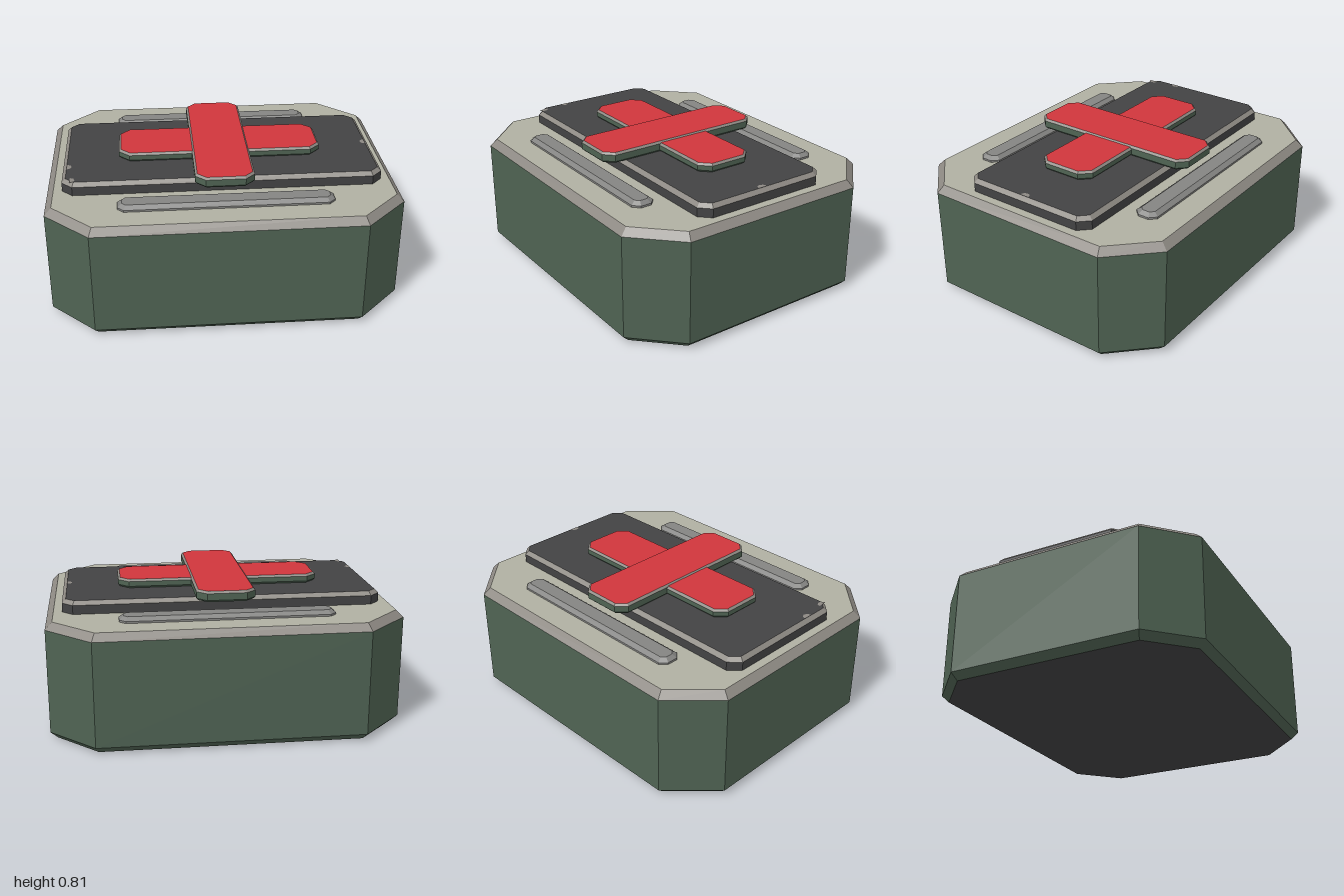
import * as THREE from 'three';

function material(name, color) {
  const m = new THREE.MeshStandardMaterial({ color, flatShading: true });
  m.name = name;
  return m;
}

// Eight-sided outline of a rectangle with cut corners, inset evenly
function outline(w, d, cut, inset, y) {
  const a = w - inset, b = d - inset;
  const c = cut - inset * (2 - Math.SQRT2);
  return [
    [a, b - c], [a, c - b], [a - c, -b], [c - a, -b],
    [-a, c - b], [-a, b - c], [c - a, b], [a - c, b],
  ].map(([x, z]) => new THREE.Vector3(x, y, z));
}

// Bevelled slab; materials run: base, lower bevel, sides, upper bevel, top
function slab(name, { w, d, cut, y0, y1, bevel, low = bevel, rise = bevel }, materials) {
  const rings = [
    outline(w, d, cut, low, y0),
    outline(w, d, cut, 0, y0 + low),
    outline(w, d, cut, 0, y1 - rise),
    outline(w, d, cut, bevel, y1),
  ];
  const points = [];
  const geometry = new THREE.BufferGeometry();
  const addGroup = (index, build) => {
    const start = points.length;
    for (let i = 0; i < 8; i++) build(i, (i + 1) % 8);
    geometry.addGroup(start, points.length - start, index);
  };
  addGroup(0, (i, j) => points.push(new THREE.Vector3(0, y0, 0), rings[0][j], rings[0][i]));
  for (let k = 0; k < 3; k++) {
    const lo = rings[k], hi = rings[k + 1];
    addGroup(k + 1, (i, j) => points.push(lo[i], lo[j], hi[j], lo[i], hi[j], hi[i]));
  }
  addGroup(4, (i, j) => points.push(new THREE.Vector3(0, y1, 0), rings[3][i], rings[3][j]));
  geometry.setFromPoints(points);
  geometry.computeVertexNormals();
  const mesh = new THREE.Mesh(geometry, materials);
  mesh.name = name;
  return mesh;
}

export function createModel() {
  const green = material('case green', 0x4f6353);
  const edge = material('worn edge grey', 0x8d8983);
  const beige = material('lid beige', 0xb0b0a2);
  const dark = material('panel charcoal', 0x434344);
  const grey = material('rib grey', 0x848482);
  const red = material('cross red', 0xd0363c);

  const model = new THREE.Group();
  model.name = 'medicalCase';

  // Main case with a lighter lid
  model.add(slab('caseBody',
    { w: 1, d: 0.815, cut: 0.25, y0: 0, y1: 0.677, bevel: 0.04 },
    [dark, green, green, edge, beige]));

  // Raised panel on the lid
  model.add(slab('lidPanel',
    { w: 0.91, d: 0.418, cut: 0.06, y0: 0.67, y1: 0.75, bevel: 0.022, low: 0.005 },
    [dark, dark, dark, edge, dark]));

  // Ribs in front of and behind the panel
  for (const side of [1, -1]) {
    const rib = slab(side > 0 ? 'frontRib' : 'backRib',
      { w: 0.6, d: 0.068, cut: 0.036, y0: 0.66, y1: 0.708, bevel: 0.025, low: 0.005, rise: 0.02 },
      [grey, grey, grey, grey, grey]);
    rib.position.z = side * 0.562;
    model.add(rib);
  }

  // Cross made of two overlapping bars
  const cross = new THREE.Group();
  cross.name = 'cross';
  const barColours = [green, green, green, edge, red];
  cross.add(slab('crossBarAcross',
    { w: 0.588, d: 0.174, cut: 0.06, y0: 0.752, y1: 0.804, bevel: 0.012 }, barColours));
  cross.add(slab('crossBarLengthwise',
    { w: 0.166, d: 0.53, cut: 0.055, y0: 0.75, y1: 0.812, bevel: 0.012 }, barColours));
  model.add(cross);

  // Small chips worn into the panel rim
  for (const [x, z] of [[0.886, 0.01], [-0.886, 0.21], [-0.862, 0.376]]) {
    const chip = new THREE.Mesh(
      new THREE.CircleGeometry(0.028, 4, Math.PI / 2, Math.PI), edge);
    chip.name = 'panelChip';
    chip.rotation.set(-Math.PI / 2, 0, x > 0 ? 0 : Math.PI);
    chip.position.set(x, 0.752, z);
    model.add(chip);
  }

  return model;
}
